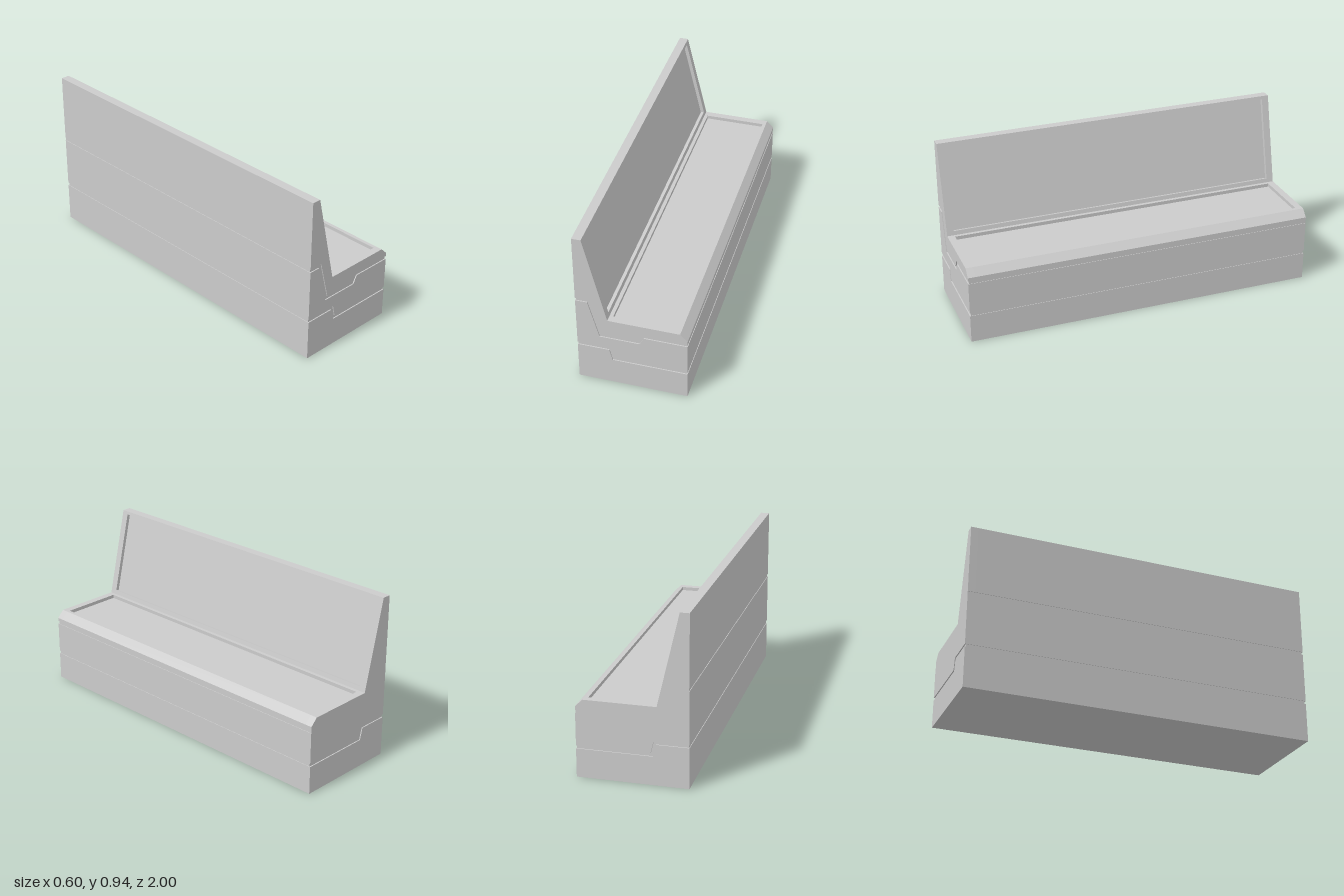
import * as THREE from 'three';

const material = new THREE.MeshStandardMaterial({ color: 0xcccccc, flatShading: true });

// Outlines lie in the x-y plane and run from z0 to z1.
function slab(name, points, z0, z1) {
  const shape = new THREE.Shape(points.map(([x, y]) => new THREE.Vector2(x, y)));
  const geometry = new THREE.ExtrudeGeometry(shape, { depth: z1 - z0, bevelEnabled: false });
  geometry.translate(0, 0, z0);
  const mesh = new THREE.Mesh(geometry, material);
  mesh.name = name;
  return mesh;
}

// Outline enclosed between a lower and an upper edge, both listed from -x to +x.
const between = (lower, upper) => [...lower, ...[...upper].reverse()];

// Pull the end points of an edge inwards, for the recessed joint fillers.
const shorten = (edge, d) => edge.map(([x, y]) => [THREE.MathUtils.clamp(x, -0.3 + d, 0.3 - d), y]);

export function createModel() {
  const group = new THREE.Group();
  group.name = 'bench';

  // Stepped edges of the two joints
  const ground = [[-0.3, 0], [0.3, 0]];
  const lowJointBottom = [[-0.3, 0.226], [-0.126, 0.226], [-0.109, 0.159], [0.3, 0.159]];
  const lowJointTop = [[-0.3, 0.243], [-0.113, 0.243], [-0.097, 0.176], [0.3, 0.176]];
  const highJointBottom = [[-0.3, 0.533], [-0.235, 0.533], [-0.176, 0.31], [0.042, 0.31], [0.066, 0.355], [0.3, 0.355]];
  const highJointTop = [[-0.3, 0.55], [-0.22, 0.55], [-0.162, 0.328], [0.03, 0.328], [0.056, 0.373], [0.3, 0.373]];

  // Seat and backrest surface, from the back to the front
  const surface = [[-0.3, 0.94], [-0.25, 0.94], [-0.13, 0.432], [0.26, 0.432], [0.3, 0.392]];

  // The same surface with sunken backrest and seat panels
  const depth = 0.02;
  const top = new THREE.Vector2(-0.25, 0.94);
  const bottom = new THREE.Vector2(-0.13, 0.432);
  const along = bottom.clone().sub(top).normalize();
  const inward = new THREE.Vector2(along.y, -along.x);
  const onBack = (y, d) => {
    const p = top.clone().lerp(bottom, (0.94 - y) / 0.508).addScaledVector(inward, d);
    return [p.x, p.y];
  };
  const sunken = [
    surface[0], surface[1],
    onBack(0.922, 0), onBack(0.922, depth), onBack(0.455, depth), onBack(0.455, 0),
    surface[2],
    [-0.11, 0.432], [-0.11, 0.432 - depth], [0.24, 0.432 - depth], [0.24, 0.432],
    surface[3], surface[4],
  ];

  // Base, middle and upper layers
  group.add(slab('base', between(ground, lowJointBottom), -1, 1));
  group.add(slab('middleLayer', between(lowJointTop, highJointBottom), -1, 1));
  group.add(slab('seatAndBackrest', between(highJointTop, sunken), -0.96, 0.96));
  group.add(slab('frontEndFrame', between(highJointTop, surface), 0.96, 1));
  group.add(slab('backEndFrame', between(highJointTop, surface), -1, -0.96));

  // Fillers set back inside the joints; the upper one is flush at the back end
  const d = 0.003, e = 0.006;
  group.add(slab('lowerJoint', between(shorten(lowJointBottom, d), shorten(lowJointTop, d)), -1 + e, 1 - e));
  group.add(slab('upperJoint', between(shorten(highJointBottom, d), shorten(highJointTop, d)), -1, 1 - e));
  return group;
}
